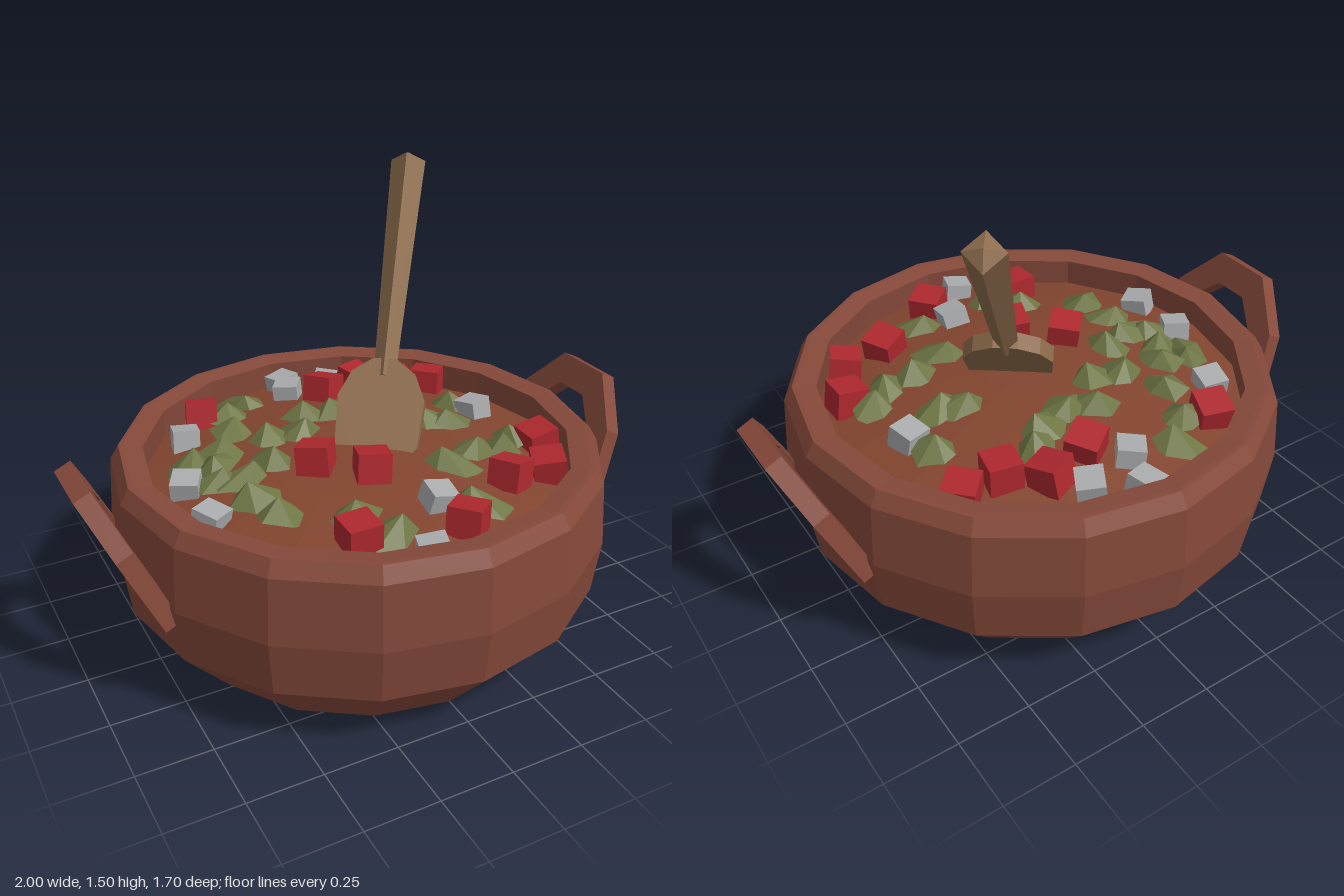
import * as THREE from 'three';

const mat = (name, color) => {
  const m = new THREE.MeshStandardMaterial({ color, flatShading: true });
  m.name = name;
  return m;
};

// Height of the domed stew surface at a distance from the centre
const stewHeight = r => 0.56 + 0.09 * (1 - (r / 0.73) ** 2);

export function createModel() {
  const model = new THREE.Group();
  const clay = mat('clay', 0x85493a);
  const broth = mat('broth', 0x82452f);
  const wood = mat('wood', 0x8c6b4b);
  const red = mat('red', 0xad282e);
  const grey = mat('grey', 0xa9abad);
  const green = mat('green', 0x6d7544);

  const add = (name, geometry, material, parent = model) => {
    const mesh = new THREE.Mesh(geometry, material);
    mesh.name = name;
    parent.add(mesh);
    return mesh;
  };
  const lathe = pts => new THREE.LatheGeometry(pts.map(p => new THREE.Vector2(...p)), 16);

  // Pot wall, rim and inside
  add('pot', lathe([[0, 0], [0.64, 0], [0.825, 0.21], [0.85, 0.4], [0.835, 0.62],
    [0.805, 0.67], [0.79, 0.67], [0.725, 0.66], [0.735, 0.5]]), clay);
  add('stew', lathe([0.74, 0.55, 0.35, 0.17, 0].map(r => [r, stewHeight(r)])), broth);

  // Arched handles, leaning outwards
  const half = [[0.31, 0.01], [0.253, 0.28], [0.112, 0.45]];
  const inner = [[0.065, 0.345], [0.165, 0.24], [0.23, 0]];
  const flip = pts => pts.map(([x, y]) => [-x, y]).reverse();
  const arch = new THREE.Shape([...half, ...flip(half), ...flip(inner), ...inner]
    .map(p => new THREE.Vector2(...p)));
  const handleGeo = new THREE.ExtrudeGeometry(arch, { depth: 0.06, bevelEnabled: false });
  handleGeo.translate(0, 0, -0.06);
  handleGeo.rotateX(THREE.MathUtils.degToRad(25.5));
  handleGeo.translate(0, 0.32, 0.808);
  for (const side of [1, -1]) {
    add(side > 0 ? 'leftHandle' : 'rightHandle', handleGeo, clay).rotation.y = side * Math.PI / 2;
  }

  // Spoon, built upright with its neck at the origin, then leaned
  const spoon = new THREE.Group();
  spoon.name = 'spoon';
  const stick = new THREE.CylinderGeometry(0.062, 0.038, 0.82, 4);
  stick.translate(0, 0.38, 0);
  add('spoonHandle', stick, wood, spoon);
  const tip = new THREE.ConeGeometry(0.062, 0.03, 4, 1, true);
  tip.translate(0, 0.805, 0);
  add('spoonTip', tip, wood, spoon);
  const edge = [[0.04, 0.03], [0.11, -0.02], [0.15, -0.11], [0.14, -0.28], [0.07, -0.36]];
  const blade = new THREE.Shape([...edge, ...flip(edge)].map(p => new THREE.Vector2(...p)));
  const bladeGeo = new THREE.ExtrudeGeometry(blade, { depth: 0.055, bevelEnabled: false });
  bladeGeo.translate(0, 0, -0.0275);
  add('spoonBlade', bladeGeo, wood, spoon);
  const along = new THREE.Vector3(0.39, 0.77, -0.505).normalize();
  const across = new THREE.Vector3(0.79, 0, 0.61).normalize();
  const facing = across.clone().cross(along).normalize();
  spoon.quaternion.setFromRotationMatrix(new THREE.Matrix4().makeBasis(across, along, facing));
  spoon.position.set(0.155, 0.85, -0.09);
  model.add(spoon);

  // Seeded numbers from -1 to 1
  let seed = 11;
  const rand = () => {
    seed = (seed * 16807) % 2147483647;
    return seed / 2147483647 * 2 - 1;
  };

  // Scatter pieces over the stew
  const scatter = (name, spots, geometry, material, lift, tilt, yaws = []) => {
    const group = new THREE.Group();
    group.name = name + 's';
    spots.forEach(([x, z], i) => {
      const piece = add(name, geometry, material, group);
      piece.position.set(x, stewHeight(Math.hypot(x, z)) + lift, z);
      piece.rotation.set(rand() * tilt, yaws[i] ?? rand() * 3, rand() * tilt, 'YXZ');
    });
    model.add(group);
  };

  scatter('redCube', [[-0.38, -0.5], [0.09, -0.45], [0.25, -0.49], [0.37, -0.4], [0.51, -0.4],
    [-0.2, 0.09], [-0.06, 0.22], [0.59, 0.22], [0.35, 0.41], [0.51, 0.4], [-0.26, 0.51],
    [0.08, 0.58]], new THREE.BoxGeometry(0.11, 0.1, 0.11), red, 0.035, 0.25,
  [-0.3, 0.6, 0.4, -0.2, 0.8, -0.7, -0.3, 0, 0.5, 1.1, 0, 0.7]);

  scatter('greyCube', [[0.015, -0.66], [0.165, -0.58], [-0.02, -0.535], [-0.49, -0.365],
    [-0.605, -0.035], [0.52, -0.085], [-0.605, 0.185], [0.055, 0.445], [-0.085, 0.655]],
  new THREE.BoxGeometry(0.092, 0.08, 0.092), grey, 0.02, 0.2,
  [0.3, -0.5, -0.6, -0.2, -0.5, 0.3, 0.6, -0.1, -0.3]);

  // Leafy lumps: low lopsided cones
  const leaf = new THREE.ConeGeometry(0.098, 0.075, 6);
  const pos = leaf.attributes.position;
  for (let i = 0; i < pos.count; i++) {
    const x = pos.getX(i), y = pos.getY(i), z = pos.getZ(i);
    pos.setXYZ(i, x * 1.1 + y * 0.4, y + x * 0.12, z * 0.85 - x * 0.2);
  }
  scatter('leaf', [[-0.2, -0.54], [-0.28, -0.46], [-0.32, -0.31], [-0.53, -0.19], [-0.41, -0.18],
    [-0.24, -0.19], [-0.14, -0.15], [-0.06, -0.28], [0.04, -0.26], [0.15, -0.28], [0.22, -0.35],
    [-0.5, -0.01], [-0.41, 0.02], [-0.3, -0.03], [-0.44, 0.14], [-0.4, 0.27], [-0.22, 0.39],
    [-0.13, 0.51], [0.47, -0.18], [0.3, -0.05], [0.37, -0.01], [0.2, 0.25], [0.33, 0.21],
    [0.46, 0.2], [0.52, 0.14], [0.17, 0.48], [-0.47, -0.1]], leaf, green, 0.022, 0.2);

  return model;
}
